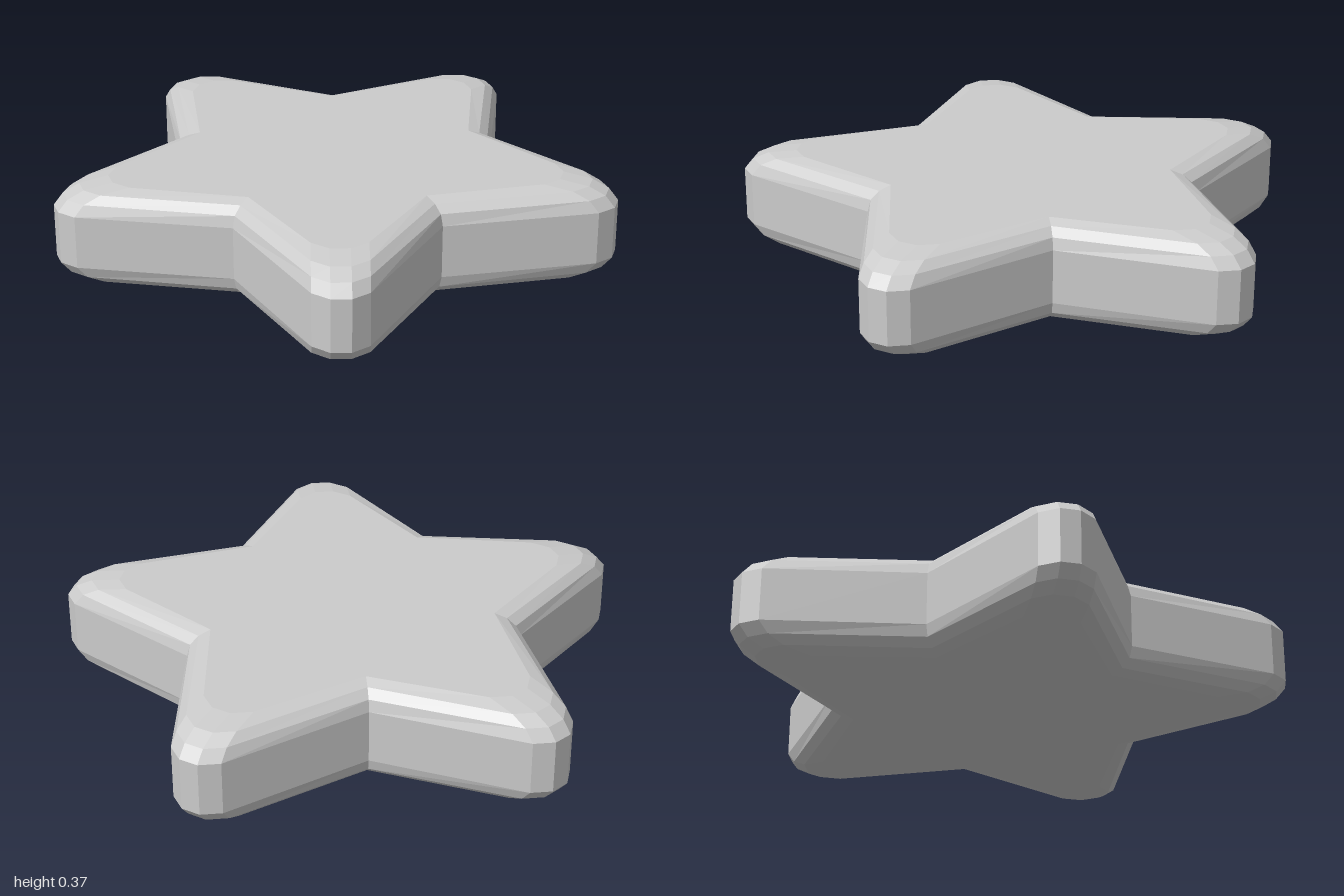
import * as THREE from 'three';

const CENTRE_Z = -0.09;
const HEIGHT = 0.365;

// Rounded rim: height, inset at the tips, inset at the notches
const upperRim = [
  [0.28, 0, 0],
  [0.322, 0.035, 0.012],
  [0.35, 0.095, 0.045],
  [HEIGHT, 0.2, 0.09],
];
const lowerRim = upperRim.map(([y, t, n]) => [HEIGHT - y, t, n]).reverse();

// One star outline: five blunt four-point tips with a notch after each
function starRing([y, tipInset, notchInset]) {
  const arm = [
    [-0.097, 0.995 - tipInset],
    [-0.035, 1.04 - tipInset],
    [0.035, 1.04 - tipInset],
    [0.097, 0.995 - tipInset],
  ];
  const notch = 0.616 - notchInset;
  arm.push([notch * Math.sin(Math.PI / 5), notch * Math.cos(Math.PI / 5)]);
  const ring = [];
  for (let k = 0; k < 5; k++) {
    const a = (k * Math.PI * 2) / 5;
    for (const [x, z] of arm) {
      ring.push([
        x * Math.cos(a) + z * Math.sin(a),
        y,
        z * Math.cos(a) - x * Math.sin(a) + CENTRE_Z,
      ]);
    }
  }
  return ring;
}

function starGeometry() {
  const rings = [...lowerRim, ...upperRim].map(starRing);
  const count = rings[0].length;
  const positions = rings.flat(2);
  const index = [];

  // Walls and rounded rims
  for (let j = 0; j < rings.length - 1; j++) {
    for (let i = 0; i < count; i++) {
      const a = j * count + i;
      const b = j * count + ((i + 1) % count);
      index.push(a, b, b + count, a, b + count, a + count);
    }
  }

  // Flat bottom and top faces
  const bottom = rings.length * count;
  const top = bottom + 1;
  positions.push(0, 0, CENTRE_Z, 0, HEIGHT, CENTRE_Z);
  const last = (rings.length - 1) * count;
  for (let i = 0; i < count; i++) {
    const next = (i + 1) % count;
    index.push(bottom, next, i, top, last + i, last + next);
  }

  const geometry = new THREE.BufferGeometry();
  geometry.setAttribute('position', new THREE.Float32BufferAttribute(positions, 3));
  geometry.setIndex(index);
  const flat = geometry.toNonIndexed();
  flat.computeVertexNormals();
  return flat;
}

export function createModel() {
  const group = new THREE.Group();
  group.name = 'star';
  const material = new THREE.MeshStandardMaterial({ color: 0xcccccc, flatShading: true });
  const body = new THREE.Mesh(starGeometry(), material);
  body.name = 'starBody';
  group.add(body);
  return group;
}
